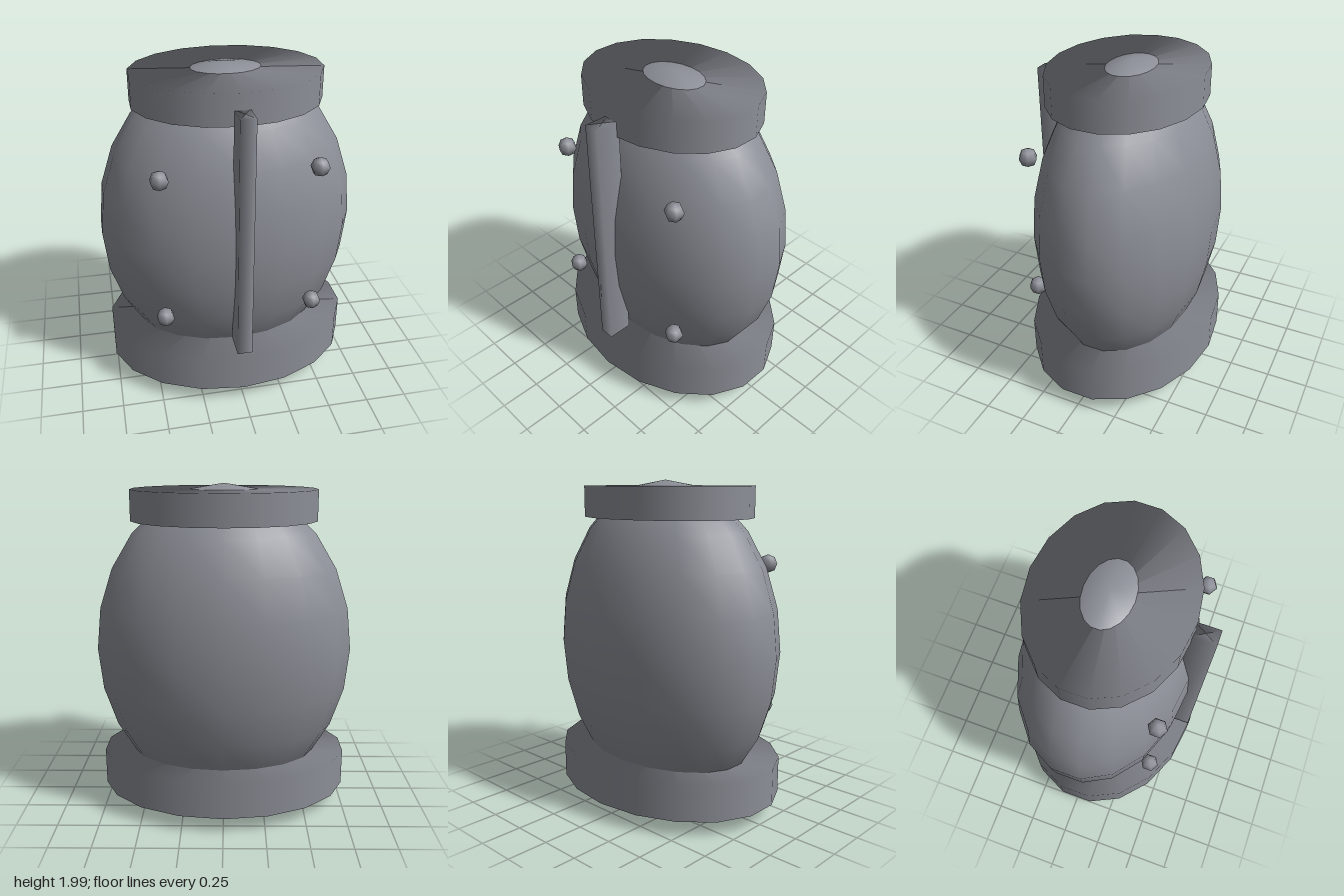
import * as THREE from 'three';

export function createModel() {
  const model = new THREE.Group();
  const grey = new THREE.MeshStandardMaterial({ color: 0x8c8f97 });
  grey.name = 'slate grey';

  function add(name, geometry, x, y, z) {
    const mesh = new THREE.Mesh(geometry, grey);
    mesh.name = name;
    mesh.position.set(x, y, z);
    model.add(mesh);
    return mesh;
  }

  // Closed prism of unit radius whose caps share the soft, radial shading of the wall
  function softPrism(sides, rx, height, rz, turn = 0) {
    const g = new THREE.CylinderGeometry(1, 1, 1, sides, 3, true);
    const p = g.attributes.position;
    const perRing = sides + 1;
    for (let i = 0; i < p.count; i++) {
      const ring = Math.floor(i / perRing);
      const r = ring === 0 || ring === 3 ? 0 : 1;
      p.setXYZ(i, p.getX(i) * r, ring < 2 ? 0.5 : -0.5, p.getZ(i) * r);
    }
    return g.rotateY(turn).scale(rx, height, rz);
  }

  // Low-poly ellipsoid with a vertex facing the front
  function ellipsoid(sides, bands, rx, ry, rz) {
    return new THREE.SphereGeometry(1, sides, bands).rotateY(Math.PI / 2).scale(rx, ry, rz);
  }

  // Barrel body, poking through both collars
  add('body', ellipsoid(18, 12, 0.79, 0.997, 0.533), 0, 1.003, -0.018);

  // Wide base and narrower top collar
  add('base', softPrism(18, 0.772, 0.225, 0.587), 0, 0.2125, 0);
  add('topCollar', softPrism(18, 0.565, 0.185, 0.452), 0, 1.8725, 0);

  // Upright strip down the front
  const d = Math.SQRT1_2;
  add('frontStrip', softPrism(4, 0.09 * d, 1.505, 0.15 * d, Math.PI / 4), 0, 1.1175, 0.505);

  // Four studs on the front
  for (const side of [-1, 1]) {
    for (const y of [0.59, 1.495]) {
      add(side > 0 ? 'leftStud' : 'rightStud', ellipsoid(6, 4, 0.057, 0.057, 0.057), side * 0.453, y, 0.423);
    }
  }

  return model;
}
